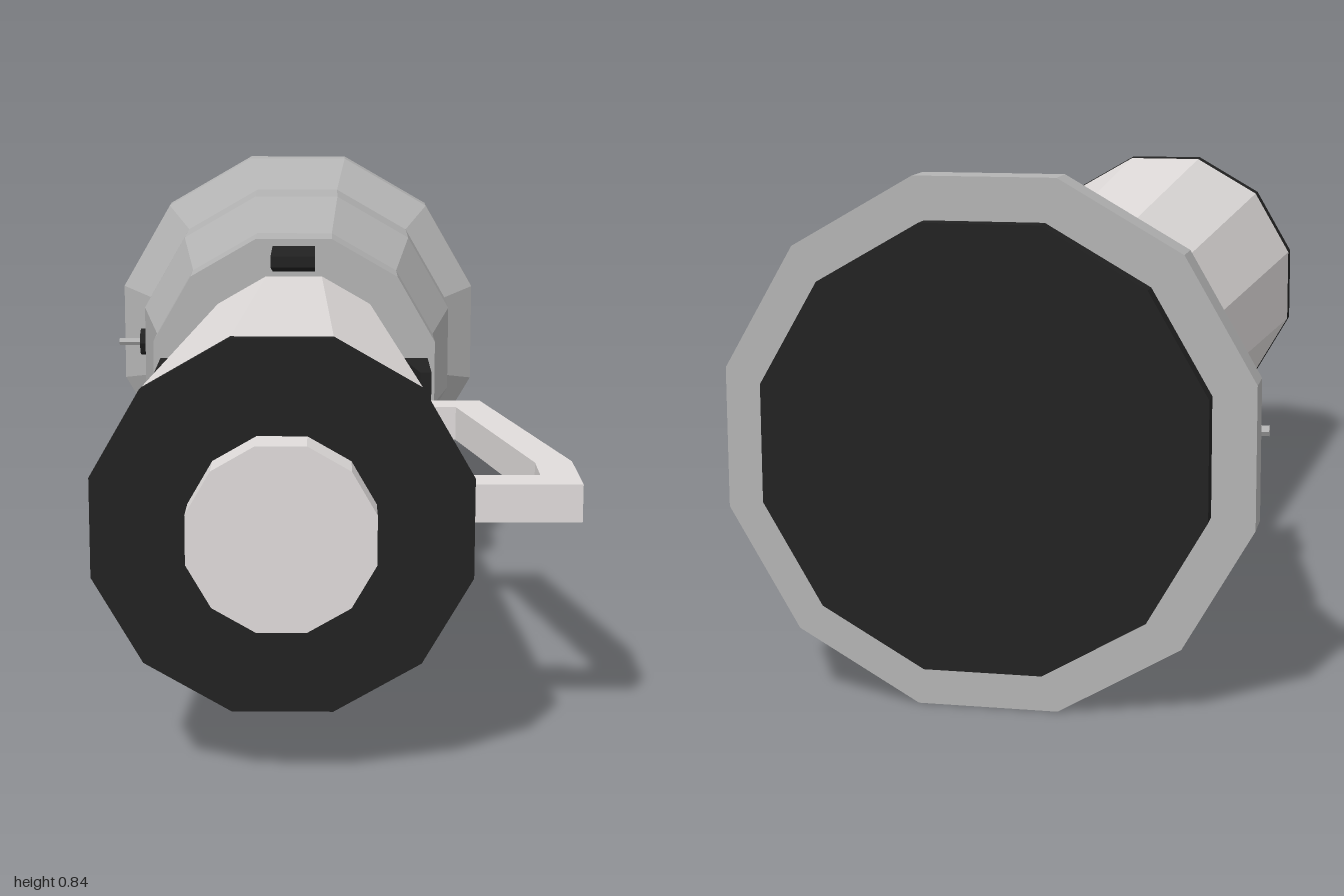
import * as THREE from 'three';

const SIDES = 12;
const AXIS = { x: -0.0375, y: 0.42 };

export function createModel() {
  const model = new THREE.Group();
  const material = (color) => new THREE.MeshStandardMaterial({ color, flatShading: true });
  const pale = material(0xe0dcdb);
  const grey = material(0xb4b4b4);
  const black = material(0x222222);

  // everything round sits on the long axis of the torch
  const torch = new THREE.Group();
  torch.name = 'torch';
  torch.position.set(AXIS.x, AXIS.y, 0);
  model.add(torch);

  const add = (parent, name, geometry, mat) => {
    const mesh = new THREE.Mesh(geometry, mat);
    mesh.name = name;
    parent.add(mesh);
    return mesh;
  };

  // closed twelve-sided turning along z; profile is [half width across flats, z], z ascending
  const turned = (profile) => {
    const k = 1 / Math.cos(Math.PI / SIDES);
    const full = [[0, profile[0][1]], ...profile, [0, profile[profile.length - 1][1]]];
    const points = full.map(([r, z]) => new THREE.Vector2(r * k, z));
    return new THREE.LatheGeometry(points, SIDES, Math.PI / SIDES).rotateX(Math.PI / 2);
  };

  // flat outline in x and z, given a thickness centred on y = 0
  const slab = (outline, thickness) => {
    const shape = new THREE.Shape(outline.map(([x, z]) => new THREE.Vector2(x, z)));
    return new THREE.ExtrudeGeometry(shape, { depth: thickness, bevelEnabled: false })
      .translate(0, 0, -thickness / 2)
      .rotateX(Math.PI / 2);
  };

  // tapered grip with its end cap and button
  add(torch, 'body', turned([[0.22, -0.31], [0.298, 0.9]]), pale);
  add(torch, 'endCap', turned([[0.298, 0.9], [0.3, 0.93]]), black);
  add(torch, 'endButton', turned([[0.147, 0.92], [0.147, 1]]), pale);

  // flared head with its rim, and the lens
  add(torch, 'head', turned([
    [0.418, -0.965], [0.418, -0.9], [0.35, -0.84], [0.35, -0.68], [0.3, -0.4], [0.3, -0.3],
  ]), grey);
  add(torch, 'lens', turned([[0.35, -1], [0.35, -0.96]]), black);

  // four wedge clips around the neck
  const clip = slab([[0.23, -0.305], [0.285, -0.305], [0.285, -0.135], [0.262, -0.135]], 0.09);
  for (let i = 0; i < 4; i++) {
    add(torch, 'neckClip', clip, black).rotation.z = (i * Math.PI) / 2;
  }

  // side handle, its feet sunk into the body
  const handle = add(model, 'handle', slab([
    [0.19, 0.088], [0.33, 0.088], [0.45, 0.605], [0.45, 0.77], [0.23, 0.77],
    [0.23, 0.705], [0.386, 0.705], [0.386, 0.615], [0.28, 0.152], [0.19, 0.152],
  ], 0.064), pale);
  handle.position.y = AXIS.y;

  // switch on the right of the head
  const toggle = new THREE.Group();
  toggle.name = 'switch';
  toggle.position.set(-0.38, AXIS.y, -0.76);
  model.add(toggle);
  add(toggle, 'switchBase', new THREE.CylinderGeometry(0.031, 0.031, 0.03, 8)
    .rotateZ(Math.PI / 2).translate(-0.01, 0, 0), black);
  add(toggle, 'switchLever', new THREE.CylinderGeometry(0.009, 0.009, 0.055, 6)
    .rotateZ(Math.PI / 2).translate(-0.0475, 0, 0), grey);

  return model;
}
